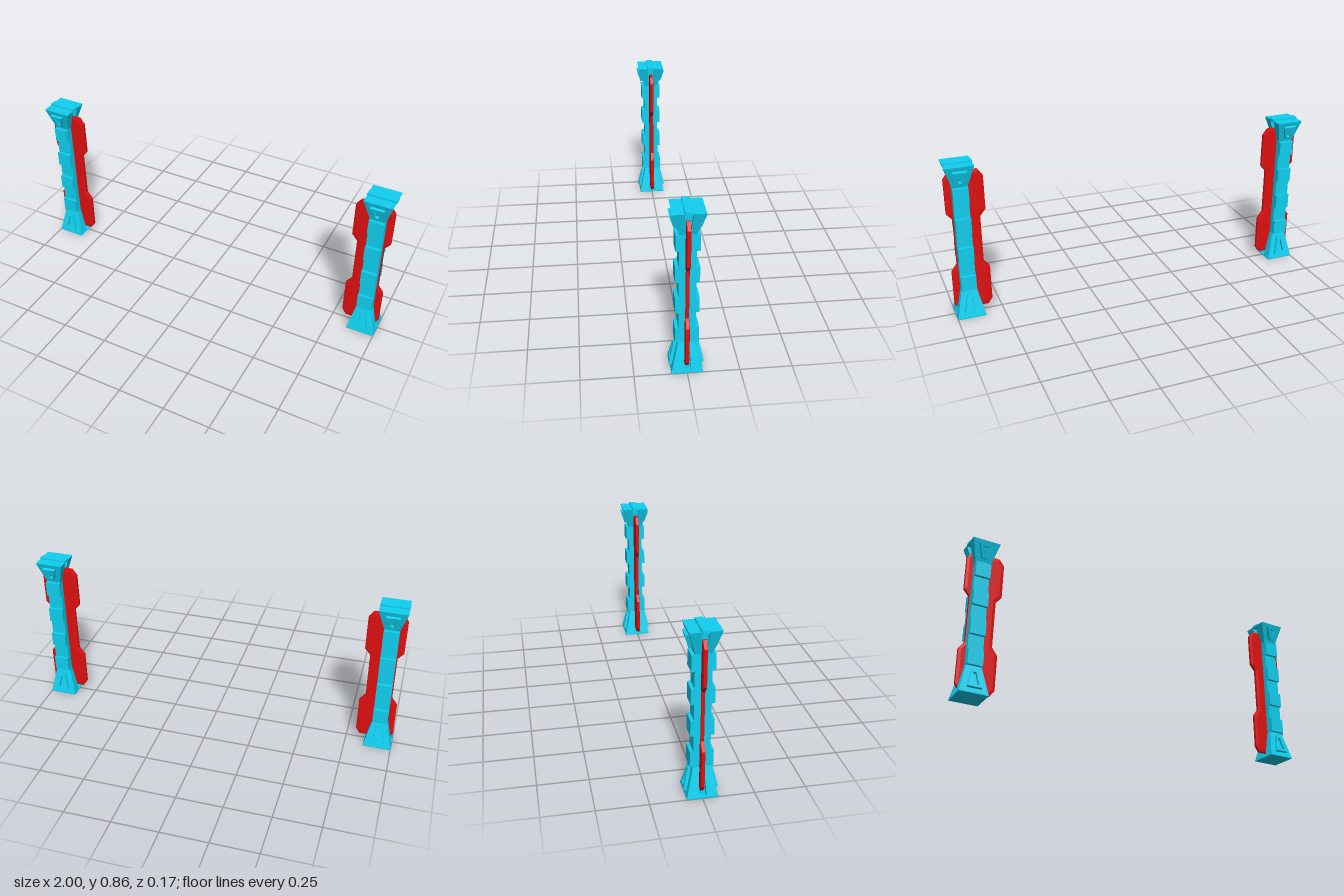
import * as THREE from 'three';

const blue = new THREE.MeshStandardMaterial({ color: 0x10d0f0, flatShading: true });
const red = new THREE.MeshStandardMaterial({ color: 0xe01010, flatShading: true });

function add(parent, name, geometry, material, x = 0, y = 0, z = 0) {
  const mesh = new THREE.Mesh(geometry, material);
  mesh.name = name;
  mesh.position.set(x, y, z);
  parent.add(mesh);
  return mesh;
}

// Rectangular outline with a groove of half width gz cut into both x sides down to gx
function groovedRing(y, hx, hz, gx, gz) {
  const half = [[hx, hz], [hx, gz], [gx, gz], [gx, -gz], [hx, -gz], [hx, -hz]];
  return [...half, ...half.map(([x, z]) => [-x, -z])].map(([x, z]) => new THREE.Vector3(x, y, z));
}

// Skin two outlines (lower, upper) and cap both ends
function loft(lower, upper) {
  const pos = [];
  const tri = (...pts) => pts.forEach(p => pos.push(p.x, p.y, p.z));
  const n = lower.length;
  for (let i = 0; i < n; i++) {
    const j = (i + 1) % n;
    tri(lower[i], lower[j], upper[j]);
    tri(lower[i], upper[j], upper[i]);
  }
  for (const [ring, up] of [[lower, false], [upper, true]]) {
    const flat = ring.map(p => new THREE.Vector2(p.x, -p.z));
    for (const [a, b, c] of THREE.ShapeUtils.triangulateShape(flat, [])) {
      const ccw = flat[b].clone().sub(flat[a]).cross(flat[c].clone().sub(flat[a])) > 0;
      if (ccw === up) tri(ring[a], ring[b], ring[c]);
      else tri(ring[a], ring[c], ring[b]);
    }
  }
  const g = new THREE.BufferGeometry();
  g.setAttribute('position', new THREE.Float32BufferAttribute(pos, 3));
  g.computeVertexNormals();
  return g;
}

// Trapezoid frame: half widths at the lower and upper edge, height h
function frameGeometry(low, high, h) {
  const trapezoid = (a, b, y0, y1) =>
    [[-a, y0], [a, y0], [b, y1], [-b, y1]].map(p => new THREE.Vector2(...p));
  const shape = new THREE.Shape(trapezoid(low, high, 0, h));
  shape.holes.push(new THREE.Path(trapezoid(low * 0.55, high * 0.5, h * 0.16, h * 0.84)));
  return new THREE.ExtrudeGeometry(shape, { depth: 0.018, bevelEnabled: false });
}

// Bevelled fin, broad at both ends and narrower in the middle
function finGeometry() {
  const edge = [[0.078, 0.03], [0.1, 0.062], [0.1, 0.25], [0.07, 0.29],
    [0.07, 0.545], [0.1, 0.58], [0.1, 0.765], [0.074, 0.8]];
  const outline = [...edge, ...edge.map(([x, y]) => [-x, y]).reverse()];
  const shape = new THREE.Shape(outline.map(p => new THREE.Vector2(...p)));
  const g = new THREE.ExtrudeGeometry(shape, {
    depth: 0.016, bevelEnabled: true, bevelSegments: 1,
    bevelSize: 0.014, bevelOffset: -0.014, bevelThickness: 0.003,
  });
  return g.translate(0, 0, -0.008);
}

function createPost(side) {
  const post = new THREE.Group();
  post.name = side > 0 ? 'leftPost' : 'rightPost';
  post.position.x = 0.925 * side;

  add(post, 'shaft', new THREE.BoxGeometry(0.08, 0.575, 0.08), blue, 0, 0.4425, 0);

  // Flared ends, grooved on the sides
  add(post, 'footFlare', loft(
    groovedRing(0.005, 0.074, 0.074, 0.045, 0.02),
    groovedRing(0.155, 0.04, 0.04, 0.0395, 0.01)), blue);
  add(post, 'footPlate', new THREE.BoxGeometry(0.149, 0.006, 0.15), blue, 0, 0.003, 0);
  add(post, 'headFlare', loft(
    groovedRing(0.73, 0.04, 0.04, 0.0395, 0.01),
    groovedRing(0.847, 0.074, 0.075, 0.045, 0.02)), blue);
  add(post, 'headRidge', new THREE.BoxGeometry(0.149, 0.014, 0.038), blue, 0, 0.848, 0);

  // Raised pads and frames, repeated on front and back
  for (const face of ['front', 'back']) {
    const half = new THREE.Group();
    half.name = face + 'Trim';
    half.rotation.y = face === 'front' ? 0 : Math.PI;
    for (const y of [0.195, 0.359, 0.521, 0.685])
      add(half, 'pad', new THREE.BoxGeometry(0.08, 0.081, 0.02), blue, 0, y, 0.046);
    const foot = add(half, 'footFrame', frameGeometry(0.036, 0.015, 0.102), blue, 0, 0.027, 0.065);
    foot.rotation.x = -Math.atan(0.035 / 0.155);
    const head = add(half, 'headFrame', frameGeometry(0.015, 0.036, 0.074), blue, 0, 0.754, 0.044);
    head.rotation.x = Math.atan(0.035 / 0.117);
    post.add(half);
  }

  // The fin reaches further towards the middle of the model
  add(post, 'fin', finGeometry(), red, -0.025 * side, 0, 0);
  return post;
}

export function createModel() {
  const model = new THREE.Group();
  model.name = 'gatePosts';
  for (const side of [1, -1]) model.add(createPost(side));
  return model;
}
